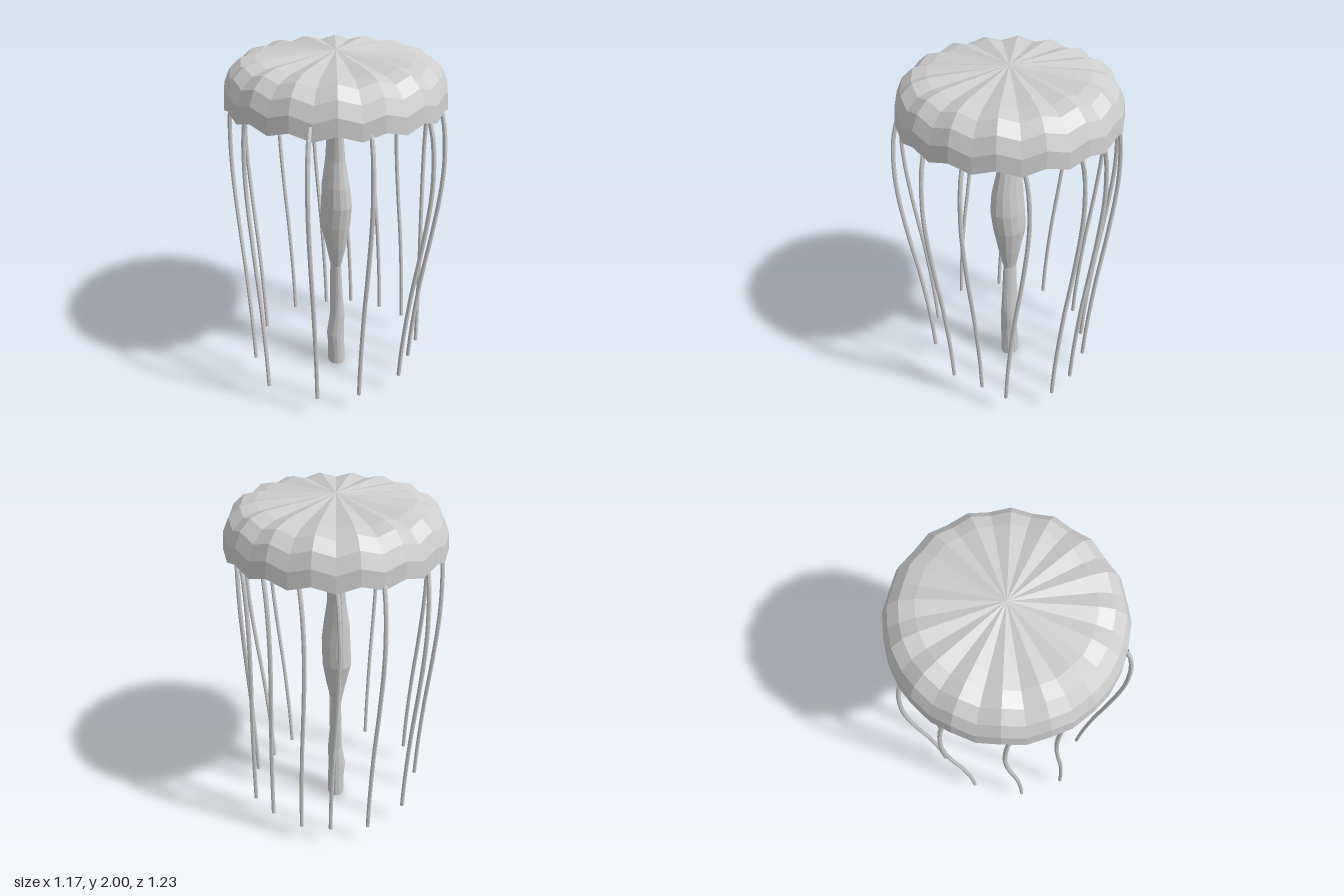
import * as THREE from 'three';

const grey = new THREE.MeshStandardMaterial({ color: 0xcccccc, flatShading: true, side: THREE.DoubleSide });
grey.name = 'pale grey';

function add(group, name, geometry) {
  const mesh = new THREE.Mesh(geometry, grey);
  mesh.name = name;
  group.add(mesh);
  return mesh;
}

// Open dome whose 32 meridians alternate in height, giving 16 scalloped lobes
function bellGeometry() {
  const profile = [[0.587, 1.735], [0.58, 1.82], [0.547, 1.895], [0.487, 1.95],
    [0.41, 1.972], [0.33, 1.978], [0.22, 1.985], [0, 2]];
  const geo = new THREE.LatheGeometry(profile.map(([r, y]) => new THREE.Vector2(r, y)), 32);
  const pos = geo.attributes.position;
  for (let i = 0; i < pos.count; i++) {
    const meridian = Math.floor(i / profile.length);
    const r = profile[i % profile.length][0];
    pos.setY(i, pos.getY(i) + (meridian % 2 ? 1 : -1) * 0.016 * r / 0.587);
  }
  return geo.translate(0, 0, 0.012);
}

// Loft of elliptical rings: [y, centre x, radius x, centre z, radius z]
function stemGeometry() {
  const rings = [
    [0, 0.003, 0.05, 0.015, 0.058], [0.12, 0.002, 0.05, 0.016, 0.055], [0.22, -0.006, 0.055, 0.018, 0.051],
    [0.37, 0.004, 0.043, 0.024, 0.048], [0.5, 0.002, 0.034, 0.016, 0.049], [0.72, 0, 0.027, 0.012, 0.042],
    [0.85, 0, 0.055, 0.015, 0.068], [1.0, -0.004, 0.083, 0.012, 0.098], [1.13, -0.004, 0.08, 0.024, 0.103],
    [1.25, -0.008, 0.07, 0.022, 0.094], [1.4, -0.004, 0.047, 0.012, 0.072], [1.55, -0.002, 0.036, 0.008, 0.062],
    [1.75, 0, 0.031, 0.003, 0.055], [1.96, 0, 0.03, 0.003, 0.05]];
  const sides = 14, points = [], index = [];
  for (const [y, cx, rx, cz, rz] of rings) {
    for (let s = 0; s < sides; s++) {
      const a = s / sides * Math.PI * 2;
      points.push(cx + rx * Math.sin(a), y, cz + rz * Math.cos(a));
    }
  }
  for (let r = 0; r < rings.length - 1; r++) {
    for (let s = 0; s < sides; s++) {
      const a = r * sides + s, b = r * sides + (s + 1) % sides;
      index.push(a, b, b + sides, a, b + sides, a + sides);
    }
  }
  for (let s = 1; s < sides - 1; s++) index.push(0, s + 1, s);
  const geo = new THREE.BufferGeometry();
  geo.setAttribute('position', new THREE.Float32BufferAttribute(points, 3));
  geo.setIndex(index);
  geo.computeVertexNormals();
  return geo;
}

// Hanging thread that bulges at [x, z] and drifts by [dx, dz] towards its tip
function tentacleGeometry([x, z, dx, dz]) {
  const sway = [[1.79, 0.5], [1.73, 0.29], [1.64, 0.12], [1.53, 0.03], [1.4, 0], [1.25, 0.07],
    [1.0, 0.3], [0.7, 0.63], [0.35, 0.9], [0.125, 1]];
  const path = new THREE.CatmullRomCurve3(sway.map(([y, k]) => new THREE.Vector3(x + dx * k, y, z + dz * k)));
  return new THREE.TubeGeometry(path, 24, 0.012, 8);
}

export function createModel() {
  const model = new THREE.Group();
  model.name = 'jellyfish';
  add(model, 'bell', bellGeometry());
  add(model, 'centralStem', stemGeometry());

  // Four flattened pouches under the bell
  const pouches = new THREE.Group();
  pouches.name = 'pouches';
  for (let i = 0; i < 4; i++) {
    const a = Math.PI / 4 + i * Math.PI / 2;
    const pouch = add(pouches, 'pouch', new THREE.SphereGeometry(1, 12, 8));
    pouch.scale.set(0.145, 0.078, 0.145);
    pouch.position.set(0.34 * Math.cos(a), 1.8, 0.01 + 0.34 * Math.sin(a));
  }
  model.add(pouches);

  // Thirteen tentacles: x, z at the bulge, then drift in x and z
  const tentacles = new THREE.Group();
  tentacles.name = 'tentacles';
  const layout = [
    [0, -0.605, 0, 0.13], [-0.27, -0.53, 0, 0.135], [0.21, -0.54, 0, 0.135], [0.36, -0.455, 0, 0.135],
    [-0.485, -0.29, 0, 0.135], [0.48, -0.285, 0, 0.135], [-0.545, -0.02, 0, 0.135], [0.54, -0.12, 0, 0.135],
    [0.505, 0.17, -0.06, 0.105], [-0.465, 0.455, 0.095, -0.09], [-0.19, 0.6, 0.035, -0.125],
    [0.19, 0.595, -0.05, -0.12], [0.375, 0.475, -0.07, -0.11]];
  layout.forEach((t) => add(tentacles, 'tentacle', tentacleGeometry(t)));
  model.add(tentacles);
  return model;
}
